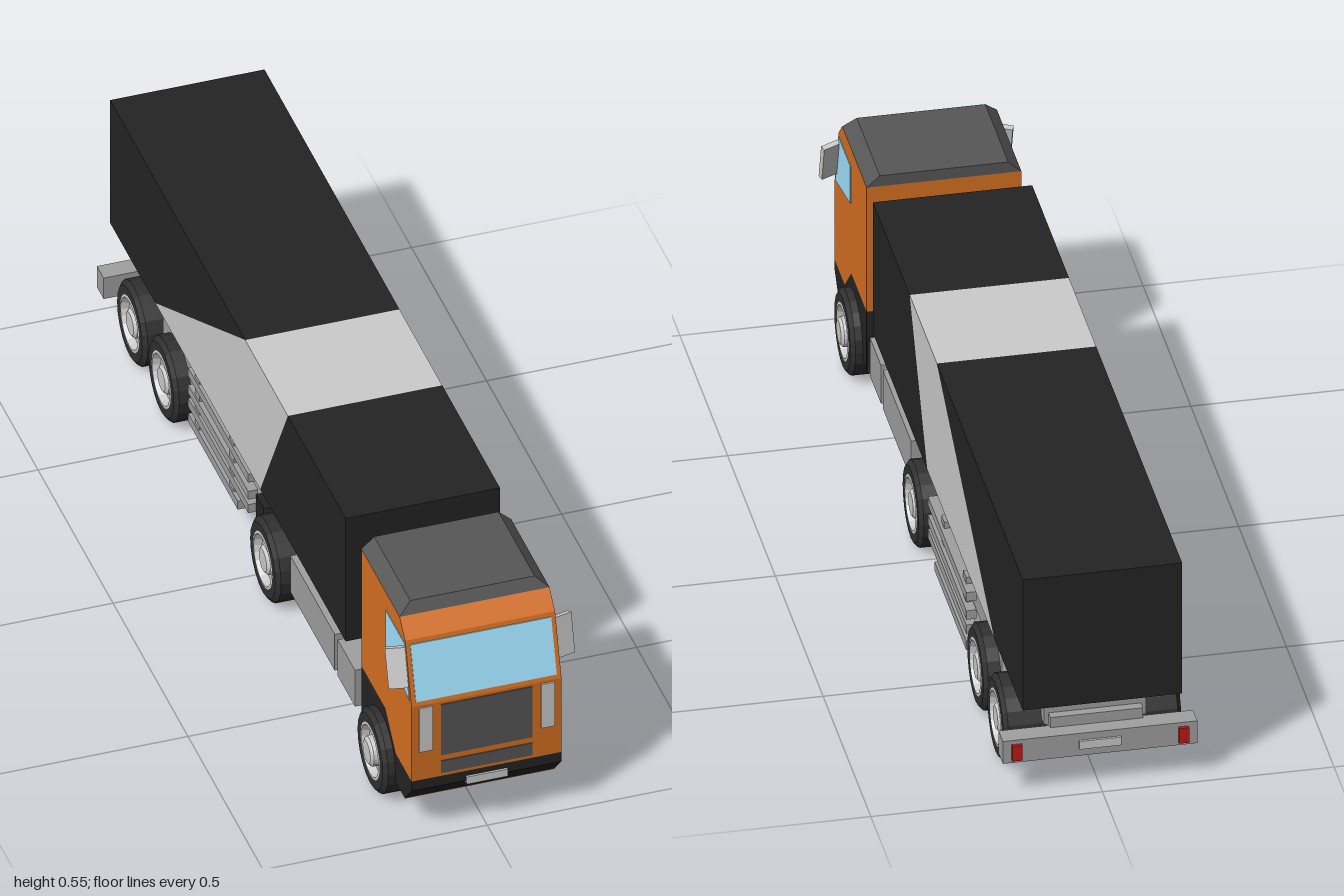
import * as THREE from 'three';

const mat = (color) => new THREE.MeshStandardMaterial({ color, flatShading: true, side: THREE.DoubleSide });
const grey = mat(0xcccccc), steel = mat(0xa0a0a0), dark = mat(0x575757), black = mat(0x242424);
const orange = mat(0xd67022), glass = mat(0xa0e2ff), red = mat(0xc01818), rubber = mat(0x303030);

export function createModel() {
  const truck = new THREE.Group();
  truck.name = 'truck';

  const add = (name, geometry, material, parent = truck) => {
    const mesh = new THREE.Mesh(geometry, material);
    mesh.name = name;
    parent.add(mesh);
    return mesh;
  };
  // Box given by its extents on each axis
  const box = (name, material, [x0, x1], [y0, y1], [z0, z1]) => {
    const g = new THREE.BoxGeometry(x1 - x0, y1 - y0, z1 - z0);
    g.translate((x0 + x1) / 2, (y0 + y1) / 2, (z0 + z1) / 2);
    return add(name, g, material);
  };
  const toShape = (pts) => new THREE.Shape(pts.map(([a, b]) => new THREE.Vector2(a, b)));
  // Side profile in (z, y), extruded across the width
  const prism = (name, material, pts, half) => {
    const g = new THREE.ExtrudeGeometry(toShape(pts), { depth: half * 2, bevelEnabled: false });
    g.translate(0, 0, -half).rotateY(-Math.PI / 2);
    return add(name, g, material);
  };
  // Plan outline in (x, z), mirrored in x and extruded downwards from the top
  const plan = (name, material, halfPts, top, depth) => {
    const pts = [...halfPts, ...halfPts.map(([x, z]) => [-x, z]).reverse()];
    const g = new THREE.ExtrudeGeometry(toShape(pts), { depth, bevelEnabled: false });
    g.rotateX(Math.PI / 2).translate(0, top, 0);
    return add(name, g, material);
  };

  // Cab shell
  prism('cabLower', black, [[0.66, 0.076], [0.95, 0.076], [0.995, 0.125], [0.995, 0.15],
    [0.89, 0.15], [0.82, 0.22], [0.66, 0.22]], 0.167);
  prism('cabUpper', orange, [[0.66, 0.22], [0.82, 0.22], [0.89, 0.15], [0.995, 0.15],
    [0.995, 0.345], [0.952, 0.49], [0.915, 0.527], [0.66, 0.527]], 0.167);

  // Roof cap, narrowing towards the top
  const roof = new THREE.BoxGeometry(0.334, 0.026, 0.255);
  const p = roof.attributes.position;
  for (let i = 0; i < p.count; i++) {
    if (p.getY(i) > 0) p.setXYZ(i, p.getX(i) * 0.83, p.getY(i), p.getZ(i) > 0 ? 0.113 : p.getZ(i));
  }
  add('roof', roof, dark).position.set(0, 0.54, 0.7875);

  // Glass
  prism('windshield', glass, [[0.985, 0.355], [0.994, 0.355], [0.957, 0.48], [0.948, 0.48]], 0.157);
  prism('sideWindows', glass, [[0.825, 0.39], [0.982, 0.355], [0.95, 0.482], [0.825, 0.482]], 0.1685);

  // Front details
  const face = [0.98, 0.997];
  box('grille', dark, [-0.102, 0.102], [0.205, 0.338], face);
  box('lowerGrille', dark, [-0.102, 0.102], [0.158, 0.19], face);
  box('frontPlate', grey, [-0.046, 0.046], [0.118, 0.137], [0.97, 1.0]);
  for (const s of [-1, 1]) {
    const light = box('headlight', grey, [-0.015, 0.015], [0.225, 0.34], [0.98, 0.999]);
    light.position.x = s * 0.136;
    const mirror = add('mirror', new THREE.BoxGeometry(0.042, 0.092, 0.013), grey);
    mirror.position.set(s * 0.186, 0.425, 0.952);
    mirror.rotation.set(-0.28, s * 0.35, 0);
  }

  // Tractor frame with its painted underside
  const frame = [[0.165, 0.66], [0.09, 0.5], [0.09, 0.02], [0.155, -0.03], [0.155, -0.08]];
  plan('tractorFrame', black, frame, 0.15, 0.074);
  plan('underside', orange, [[0.167, 0.95], ...frame], 0.076, 0.002);
  box('couplingPlate', steel, [-0.13, 0.13], [0.15, 0.222], [0.2, 0.43]);
  for (const s of [-1, 1]) {
    for (const z of [[0.505, 0.62], [0.19, 0.485]]) {
      box('sideTank', steel, [-0.043, 0.043], [0.085, 0.18], z).position.x = s * 0.125;
    }
  }

  // Cargo body in three painted sections
  const lo = 0.222, hi = 0.545;
  prism('cargoFront', black, [[0.57, lo], [0.57, hi], [0.185, hi], [0, lo]], 0.172);
  prism('cargoStripe', grey, [[0, lo], [0.185, hi], [-0.1, hi], [-0.7, lo]], 0.172);
  prism('cargoRear', black, [[-0.7, lo], [-0.1, hi], [-1, hi], [-1, lo]], 0.172);

  // Trailer frame and side guards
  plan('trailerFrame', steel, [[0.155, -0.15], [0.155, -0.7], [0.11, -0.75], [0.11, -0.92]], lo, 0.09);
  for (const [side, x] of [['left', [0.165, 0.187]], ['right', [-0.172, -0.15]]]) {
    [[0.075, -0.15], [0.115, -0.08], [0.15, -0.08], [0.195, -0.08]].forEach(([y, z]) =>
      box(side + 'GuardRail', steel, x, [y - 0.011, y + 0.011], [-0.48, z]));
    const mid = (x[0] + x[1]) / 2;
    for (const z of [-0.2, -0.43]) {
      box(side + 'GuardPost', steel, [mid - 0.008, mid + 0.004], [0.066, lo], [z - 0.015, z + 0.015]);
    }
  }

  // Rear bumper with lamps and plate
  box('bumperBracket', steel, [-0.1, 0.1], [0.1, 0.16], [-0.94, -0.9]);
  box('rearBumper', steel, [-0.21, 0.21], [0.08, 0.135], [-0.975, -0.93]);
  box('rearPlate', grey, [-0.045, 0.045], [0.098, 0.118], [-0.98, -0.97]);
  for (const s of [-1, 1]) {
    box('rearLamp', red, [-0.011, 0.011], [0.088, 0.125], [-0.983, -0.97]).position.x = s * 0.18;
  }

  // Wheels: turned tyre and dished rim with a raised hub
  const lathe = (pts) => new THREE.LatheGeometry(pts.map(([r, h]) => new THREE.Vector2(r, h)), 20)
    .rotateZ(-Math.PI / 2);
  const tyre = lathe([[0, 0], [0.084, 0], [0.095, 0.008], [0.095, 0.103], [0.084, 0.112], [0.064, 0.112]]);
  const rim = (hub) => lathe([[0.064, 0.112], [0.058, 0.113], [0.052, 0.096], [0.035, 0.096],
    [0.033, hub - 0.006], [0.026, hub], [0, hub]]);
  const rearRim = rim(0.112), frontRim = rim(0.12);
  [0.793, 0.077, -0.6, -0.81].forEach((z, i) => {
    for (const s of [-1, 1]) {
      const wheel = new THREE.Group();
      wheel.name = i === 0 ? 'frontWheel' : 'rearWheel';
      add('tyre', tyre, rubber, wheel);
      add('rim', i === 0 ? frontRim : rearRim, grey, wheel);
      wheel.position.set(s * 0.08, 0.095, z);
      wheel.rotation.y = s > 0 ? 0 : Math.PI;
      truck.add(wheel);
    }
  });

  return truck;
}
